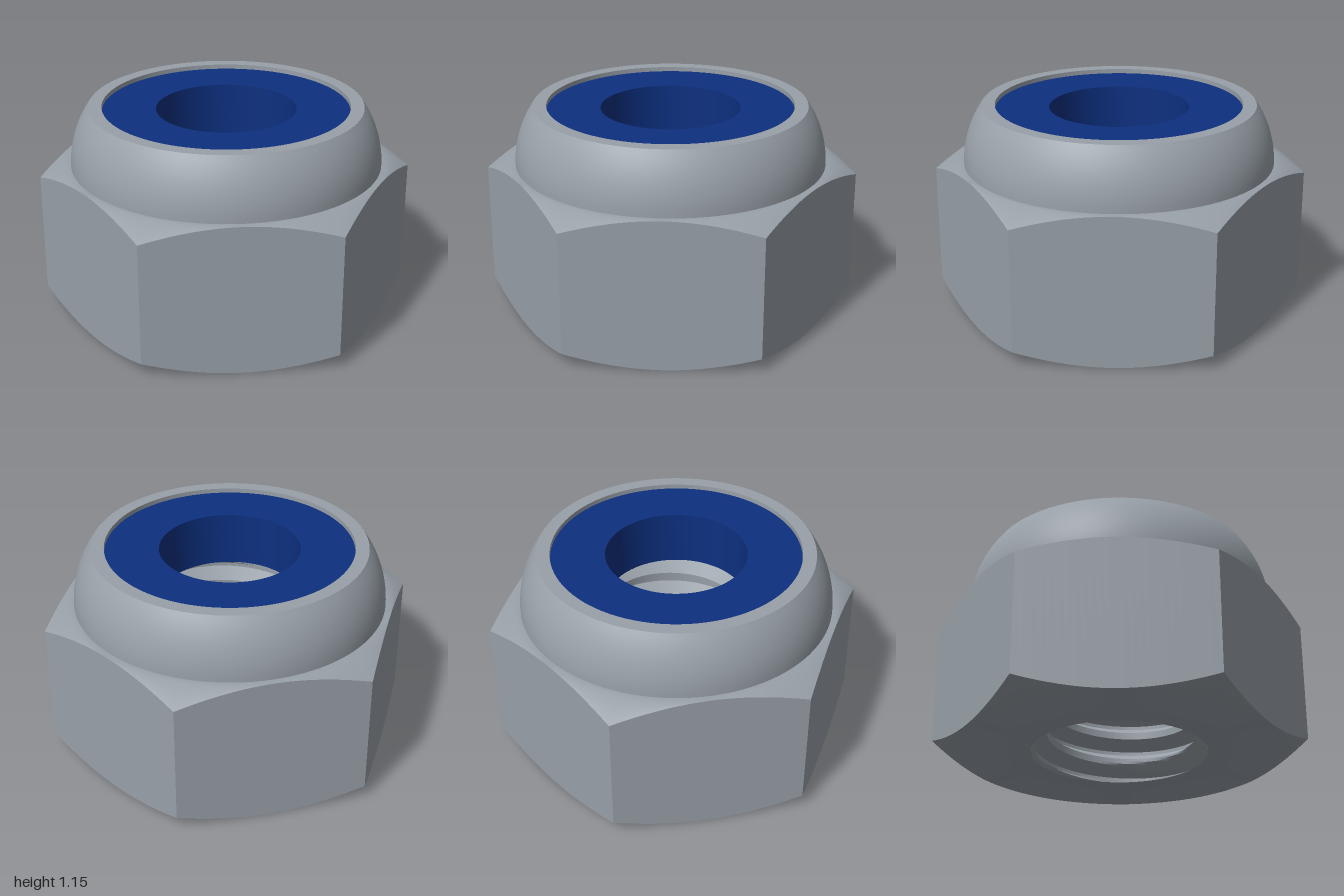
import * as THREE from 'three';
import { toCreasedNormals } from 'three/addons/utils/BufferGeometryUtils.js';

const TAU = Math.PI * 2;
const CORNER = 1.022;                              // hexagon corner radius
const APOTHEM = CORNER * Math.cos(Math.PI / 6);
const HEX_TOP = 0.83;
const TURN = THREE.MathUtils.degToRad(77.9);       // corner direction, measured from +z towards +x
const PITCH = 0.16, MINOR = 0.396, MAJOR = 0.478;  // thread
const INSERT_BASE = 0.825;

// Closed sweep around y: profile(angle) returns [radius, y] points, outer side ascending
function sweep(profile, segments, crease) {
  const pos = [], index = [];
  const rows = profile(0).length;
  for (let i = 0; i <= segments; i++) {
    const a = (i / segments) * TAU;
    for (const [r, y] of profile(a)) pos.push(r * Math.sin(a), y, r * Math.cos(a));
  }
  for (let i = 0; i < segments; i++) {
    for (let j = 0; j < rows - 1; j++) {
      const a = i * rows + j, b = a + rows;
      index.push(a, b, a + 1, b + 1, a + 1, b);
    }
  }
  const g = new THREE.BufferGeometry();
  g.setAttribute('position', new THREE.Float32BufferAttribute(pos, 3));
  g.setIndex(index);
  return toCreasedNormals(g, crease);
}

// Hexagon whose corners are cut by a 30 degree cone at both ends
function hexProfile(a) {
  const third = Math.PI / 3;
  const r = APOTHEM / Math.cos((a % third) - third / 2);
  const drop = (r - APOTHEM) * Math.tan(Math.PI / 6);
  return [[MAJOR, 0], [APOTHEM - 0.002, 0], [r, drop], [r, HEX_TOP - drop],
    [APOTHEM - 0.002, HEX_TOP], [0.84, HEX_TOP]];
}

// Right-handed thread running into a countersink at the bottom
function threadProfile(a) {
  const points = [];
  const steps = 16, last = Math.ceil(INSERT_BASE / PITCH) * steps;
  for (let k = last; k >= -steps; k--) {
    const y = THREE.MathUtils.clamp(PITCH * (k / steps + a / TAU), 0, INSERT_BASE);
    const s = y / PITCH - a / TAU;
    const d = Math.abs(s - Math.floor(s) - 0.625);
    const t = THREE.MathUtils.clamp((0.375 - d) / 0.3125, 0, 1);
    points.push([Math.max(MINOR + (MAJOR - MINOR) * t, MAJOR - y), y]);
  }
  return points;
}

// Domed collar with a thin rim and a shallow recess for the insert
function collarPoints() {
  const R = 0.54, sweepAngle = Math.asin(0.32 / R), points = [];
  for (let i = 0; i <= 12; i++) {
    const t = (i / 12) * sweepAngle;
    points.push([0.85 - R + R * Math.cos(t), HEX_TOP + R * Math.sin(t)]);
  }
  points.push([0.672, 1.15], [0.672, 1.1]);
  return points;
}

export function createModel() {
  const steel = new THREE.MeshStandardMaterial({ color: 0x98a0a8 });
  steel.name = 'steel';
  const nylon = new THREE.MeshStandardMaterial({ color: 0x0d3080 });
  nylon.name = 'blueNylon';

  const nut = new THREE.Group();
  nut.name = 'lockNut';
  const add = (name, geometry, material) => {
    const mesh = new THREE.Mesh(geometry, material);
    mesh.name = name;
    nut.add(mesh);
    return mesh;
  };

  add('hexBody', sweep(hexProfile, 144, 0.6), steel).rotation.y = TURN;
  add('thread', sweep(threadProfile, 96, 0.5), steel);

  const collar = collarPoints();
  add('collar', sweep(() => collar, 96, 0.5), steel);

  // Insert ring, closed all round
  const ring = [[0.38, INSERT_BASE], [0.671, INSERT_BASE], [0.671, 1.125], [0.38, 1.125], [0.38, INSERT_BASE]];
  add('lockingInsert', sweep(() => ring, 96, 0.5), nylon);

  return nut;
}
